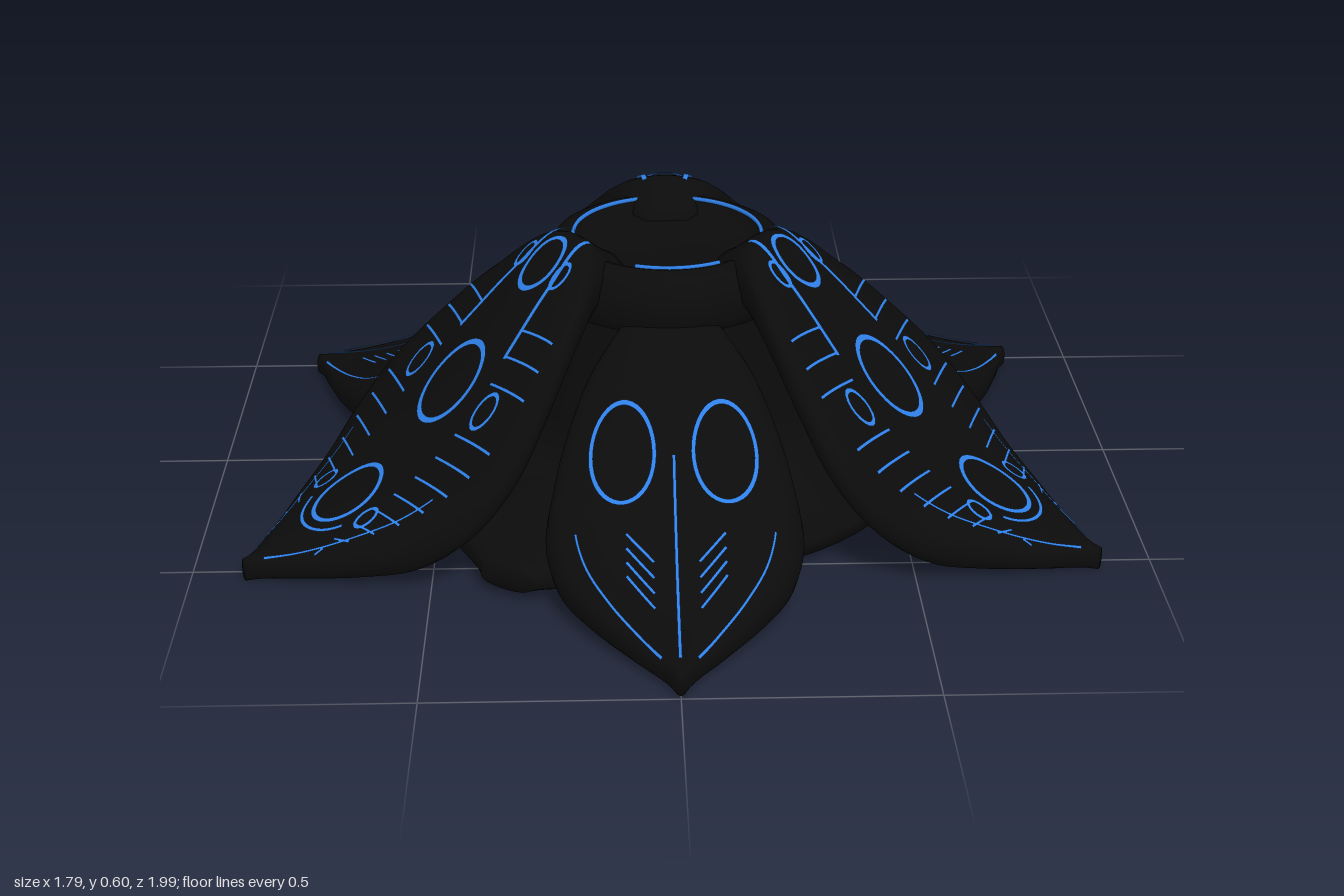
import * as THREE from 'three';
import { mergeGeometries } from 'three/addons/utils/BufferGeometryUtils.js';

const black = new THREE.MeshStandardMaterial({ color: 0x0b0b0b });
black.name = 'black';
const blue = new THREE.MeshStandardMaterial({ color: 0x2f7fe6, side: THREE.DoubleSide });
blue.name = 'blue';

// Petal sections, evenly spaced from radius r0 to r1
const longPetal = {
  r0: 0.14, r1: 1.024,
  w: [0.06, 0.12, 0.19, 0.25, 0.295, 0.29, 0.24, 0.17, 0.09, 0.012],
  top: [0.55, 0.61, 0.535, 0.44, 0.34, 0.245, 0.17, 0.12, 0.08, 0.06],
  bottom: [0.47, 0.46, 0.40, 0.30, 0.19, 0.09, 0.025, 0.012, 0.01, 0.01],
};
const shortPetal = {
  r0: 0.22, r1: 0.966,
  w: [0.10, 0.17, 0.22, 0.25, 0.262, 0.235, 0.17, 0.09, 0.012],
  top: [0.49, 0.43, 0.345, 0.265, 0.20, 0.15, 0.11, 0.08, 0.06],
  bottom: [0.40, 0.30, 0.20, 0.12, 0.06, 0.02, 0.01, 0.01, 0.01],
};
const lowLobe = {
  r0: 0.26, r1: 0.69,
  w: [0.11, 0.20, 0.24, 0.20, 0.06],
  top: [0.14, 0.13, 0.12, 0.11, 0.08],
  bottom: [0.012, 0.012, 0.012, 0.015, 0.03],
};

// Smooth lookup in an evenly spaced table, t from 0 to 1
function lookup(table, t) {
  const n = table.length - 1;
  const s = THREE.MathUtils.clamp(t, 0, 1) * n;
  const i = Math.min(Math.floor(s), n - 1), f = s - i;
  const p1 = table[i], p2 = table[i + 1];
  const p0 = table[Math.max(i - 1, 0)], p3 = table[Math.min(i + 2, n)];
  return p1 + 0.5 * f * (p2 - p0 + f * (2 * p0 - 5 * p1 + 4 * p2 - p3 + f * (3 * (p1 - p2) + p3 - p0)));
}

function section(def, r) {
  const t = (r - def.r0) / (def.r1 - def.r0);
  const top = lookup(def.top, t), bottom = lookup(def.bottom, t);
  return { w: lookup(def.w, t), top, bottom, mid: bottom + 0.45 * (top - bottom) };
}

// Height of a petal's upper face at sideways offset x and radius r
function surface(def, x, r) {
  const s = section(def, r);
  const k = Math.min(Math.abs(x) / s.w, 1);
  return s.mid + (s.top - s.mid) * Math.pow(1 - k * k, 0.35);
}

// Closed loops of a rounded section, with both ends collapsed to caps
function petalGeometry(def, rows = 44, sides = 32) {
  const pos = [], index = [];
  for (let i = -1; i <= rows + 1; i++) {
    const t = THREE.MathUtils.clamp(i / rows, 0, 1);
    const r = def.r0 + t * (def.r1 - def.r0);
    const s = section(def, r);
    const open = i < 0 || i > rows ? 0 : 1;
    for (let j = 0; j < sides; j++) {
      const a = (j / sides) * Math.PI * 2;
      const sin = Math.sin(a);
      const lift = Math.pow(Math.abs(sin), 0.7) * (sin >= 0 ? s.top - s.mid : s.bottom - s.mid);
      pos.push(open * s.w * Math.cos(a), s.mid + open * lift, r);
    }
  }
  for (let i = 0; i < rows + 2; i++) {
    for (let j = 0; j < sides; j++) {
      const a = i * sides + j, b = i * sides + (j + 1) % sides;
      index.push(a, b, b + sides, a, b + sides, a + sides);
    }
  }
  const geo = new THREE.BufferGeometry();
  geo.setAttribute('position', new THREE.Float32BufferAttribute(pos, 3));
  geo.setIndex(index);
  geo.computeVertexNormals();
  return geo;
}

// Thin painted line following the petal; path(t) returns [x, r]
function ribbon(def, path, steps = 24, width = 0.008) {
  const pos = [], index = [];
  for (let i = 0; i <= steps; i++) {
    const t = i / steps;
    const [x, r] = path(t);
    const a = path(t - 0.01), b = path(t + 0.01);
    const dx = b[0] - a[0], dr = b[1] - a[1];
    const k = width / 2 / (Math.hypot(dx, dr) || 1);
    for (const side of [1, -1]) {
      const px = x + side * dr * k, pr = r - side * dx * k;
      pos.push(px, surface(def, px, pr) + 0.006, pr);
    }
    if (i < steps) index.push(2 * i, 2 * i + 1, 2 * i + 3, 2 * i, 2 * i + 3, 2 * i + 2);
  }
  const geo = new THREE.BufferGeometry();
  geo.setAttribute('position', new THREE.Float32BufferAttribute(pos, 3));
  geo.setIndex(index);
  geo.computeVertexNormals();
  return geo;
}

const line = (x0, r0, x1, r1) => (t) => [x0 + (x1 - x0) * t, r0 + (r1 - r0) * t];
const ring = (x, r, rx, rr, from = 0, to = 1) => (t) => {
  const a = (from + (to - from) * t) * Math.PI * 2;
  return [x + rx * Math.cos(a), r + rr * Math.sin(a)];
};
const rim = (def, side, r0, r1, inset) => (t) => {
  const r = r0 + (r1 - r0) * t;
  return [side * inset * section(def, r).w, r];
};

// Rings, ladder lines and rays on the long petals
function longPattern() {
  const d = longPetal, parts = [];
  const add = (path, steps, width) => parts.push(ribbon(d, path, steps, width));
  for (const [r, rx, rr] of [[0.785, 0.06, 0.075], [0.535, 0.068, 0.07], [0.31, 0.045, 0.05]]) {
    add(ring(0, r, rx, rr), 40, 0.011);
  }
  add(ring(0, 0.785, 0.085, 0.1, 0.08, 0.42), 24);
  for (const s of [1, -1]) {
    add(ring(s * 0.1, 0.79, 0.016, 0.025), 18);
    add(ring(s * 0.15, 0.535, 0.024, 0.03), 18);
    add(ring(s * 0.075, 0.31, 0.016, 0.024), 18);
    add(line(s * 0.1, 0.46, s * 0.045, 0.22), 20, 0.011);
    add(rim(d, s, 0.68, 0.99, 0.72), 20, 0.005);
    for (let r = 0.40; r < 0.9; r += 0.045) {
      const w = section(d, r).w;
      if (Math.abs(r - 0.535) < 0.03) continue;
      add(line(s * Math.max(0.09, 0.4 * w), r + 0.01, s * 0.8 * w, r - 0.01), 8, 0.005);
    }
  }
  return mergeGeometries(parts);
}

// Twin ovals, spine and feathered strokes on the short petals
function shortPattern() {
  const d = shortPetal, parts = [];
  const add = (path, steps, width) => parts.push(ribbon(d, path, steps, width));
  add(line(0, 0.49, 0, 0.93), 24, 0.007);
  for (const s of [1, -1]) {
    add(ring(s * 0.105, 0.485, 0.065, 0.088), 40, 0.009);
    add(rim(d, s, 0.62, 0.92, 0.78), 20, 0.005);
    for (let i = 0; i < 4; i++) {
      add(line(s * 0.1, 0.635 + i * 0.03, s * 0.045, 0.70 + i * 0.035), 8, 0.006);
    }
  }
  return mergeGeometries(parts);
}

export function createModel() {
  const model = new THREE.Group();
  model.name = 'flower';
  const flower = new THREE.Group();
  flower.name = 'flowerBody';
  flower.position.z = 0.024;
  model.add(flower);

  const mesh = (name, geo, mat, parent = flower) => {
    const m = new THREE.Mesh(geo, mat);
    m.name = name;
    parent.add(m);
    return m;
  };
  const lathe = (pts) => new THREE.LatheGeometry(pts.map(([x, y]) => new THREE.Vector2(x, y)), 64);

  // Base plate with a narrow stem, then the hollow collar
  mesh('base', lathe([[0, 0.01], [0.5, 0.01], [0.55, 0.03], [0.55, 0.06], [0.5, 0.1],
    [0.36, 0.13], [0.3, 0.2], [0.26, 0.46]]), black);
  mesh('collar', lathe([[0.22, 0.43], [0.26, 0.44], [0.275, 0.47], [0.27, 0.52], [0.245, 0.56],
    [0.22, 0.572], [0.2, 0.565], [0.19, 0.54], [0, 0.535]]), black);

  // Broken blue circle around the collar opening
  for (const [start, length] of [[-0.1, 3.4], [4.35, 0.9]]) {
    const arc = mesh('collarLine', new THREE.TorusGeometry(0.205, 0.005, 6, 48, length), blue);
    arc.rotation.set(-Math.PI / 2, 0, start);
    arc.position.y = 0.57;
  }

  // Three of each petal kind, a third of a turn apart
  const kinds = [
    ['longPetal', petalGeometry(longPetal), longPattern(), Math.PI],
    ['shortPetal', petalGeometry(shortPetal), shortPattern(), 0],
    ['lowLobe', petalGeometry(lowLobe), null, Math.PI / 2],
  ];
  for (const [name, geo, pattern, start] of kinds) {
    for (let i = 0; i < 3; i++) {
      const petal = new THREE.Group();
      petal.name = name;
      petal.rotation.y = start + (i * Math.PI * 2) / 3;
      mesh(name + 'Shell', geo, black, petal);
      if (pattern) mesh(name + 'Pattern', pattern, blue, petal);
      flower.add(petal);
    }
  }
  return model;
}
